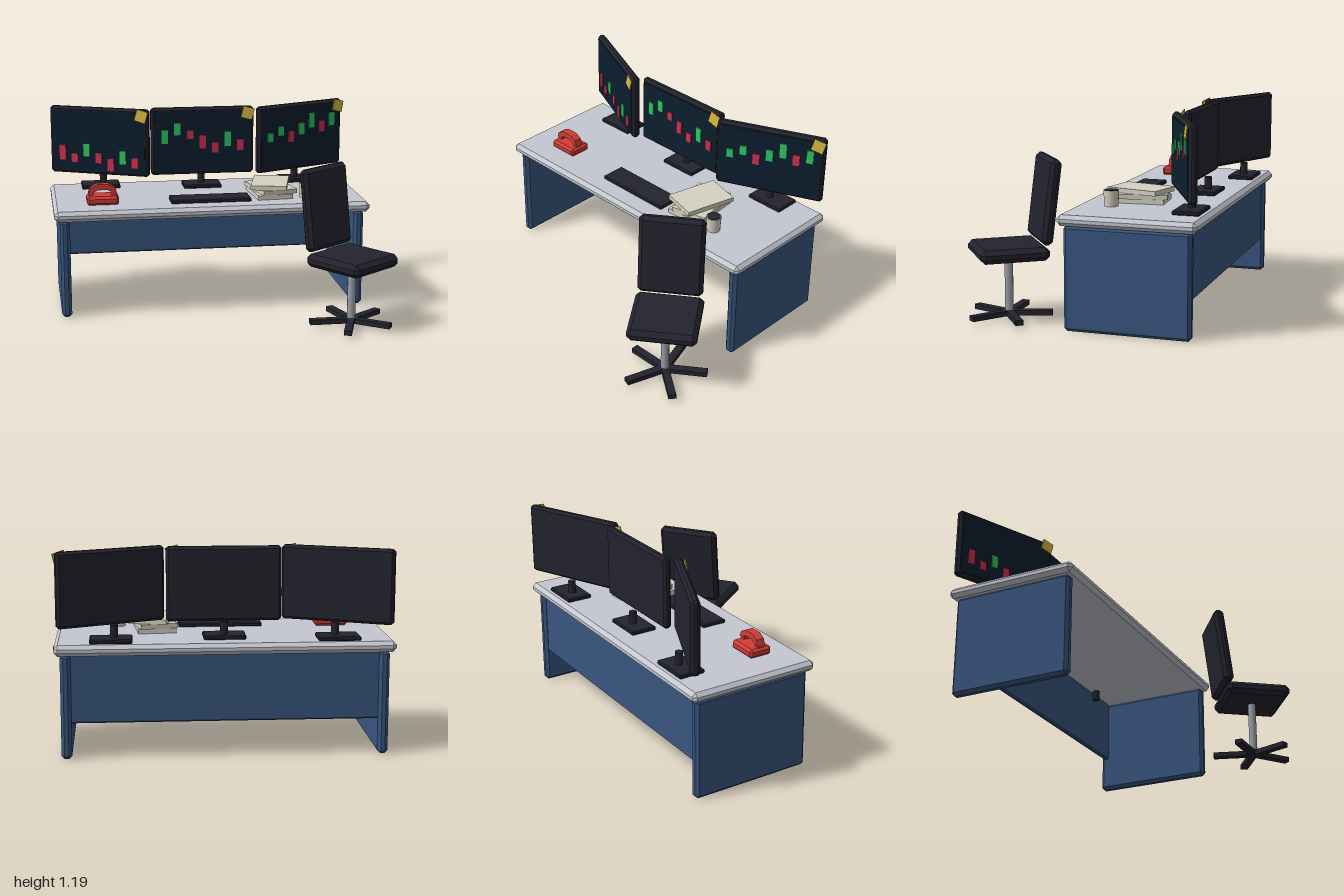
import * as THREE from 'three';
import { ConvexGeometry } from 'three/addons/geometries/ConvexGeometry.js';

const mat = (name, color, extra = {}) => Object.assign(new THREE.MeshStandardMaterial({ color, ...extra }), { name });

// Box with all edges chamfered by c
function chamferBox(w, h, d, c) {
  const pts = [];
  for (const x of [-1, 1]) for (const y of [-1, 1]) for (const z of [-1, 1]) {
    pts.push(
      new THREE.Vector3(x * w / 2, y * (h / 2 - c), z * (d / 2 - c)),
      new THREE.Vector3(x * (w / 2 - c), y * h / 2, z * (d / 2 - c)),
      new THREE.Vector3(x * (w / 2 - c), y * (h / 2 - c), z * d / 2));
  }
  return new ConvexGeometry(pts);
}

export function createModel() {
  const M = {
    top: mat('paleGrey', 0xc4c7d0),
    blue: mat('deskBlue', 0x38557f),
    dark: mat('darkPlastic', 0x23232e),
    screen: mat('screenNavy', 0x0b1e2e),
    green: mat('chartGreen', 0x2fc765),
    red: mat('chartRed', 0xcf3155),
    phone: mat('phoneRed', 0xd23c37),
    paper: mat('paperCream', 0xd6d2c2),
    yellow: mat('noteYellow', 0xd6b840),
    metal: mat('steelGrey', 0x9aa1a9),
  };
  const model = new THREE.Group();
  model.name = 'tradingDesk';

  function add(parent, name, geo, material, x = 0, y = 0, z = 0) {
    const m = new THREE.Mesh(geo, material);
    m.name = name;
    m.position.set(x, y, z);
    parent.add(m);
    return m;
  }
  function group(parent, name, x = 0, y = 0, z = 0, ry = 0) {
    const g = new THREE.Group();
    g.name = name;
    g.position.set(x, y, z);
    g.rotation.y = ry;
    parent.add(g);
    return g;
  }
  const box = (w, h, d) => new THREE.BoxGeometry(w, h, d);
  const CX = -0.035;

  // Desk: top, two side panels, back panel
  const desk = group(model, 'desk', CX);
  add(desk, 'deskTop', chamferBox(1.93, 0.064, 0.8, 0.022), M.top, 0, 0.632, -0.315);
  for (const s of [-1, 1]) {
    add(desk, 'sidePanel', chamferBox(0.06, 0.602, 0.735, 0.018), M.blue, s * 0.903, 0.301, -0.3125);
  }
  add(desk, 'backPanel', chamferBox(1.77, 0.4, 0.03, 0.008), M.blue, 0, 0.406, -0.645);

  // Monitors; each candle is [isUp, centre height, height]
  const charts = [
    [[0, -.08, .095], [0, -.112, .055], [1, -.059, .08], [0, -.107, .065], [0, -.147, .08], [1, -.096, .085], [0, -.128, .065]],
    [[1, .032, .085], [1, .08, .075], [0, .043, .055], [0, -.005, .085], [0, -.043, .065], [1, .01, .095], [0, -.03, .07]],
    [[1, .013, .055], [1, .048, .06], [0, .005, .07], [1, .048, .075], [1, .096, .095], [0, .05, .07], [1, .09, .085]],
  ];
  charts.forEach((candles, i) => {
    const side = i - 1;
    const x = CX + side * 0.645, z = side ? -0.557 : -0.481;
    const g = group(model, 'monitor', x, 0.97, z, side * 0.42);
    add(g, 'housing', chamferBox(0.66, 0.43, 0.05, 0.015), M.dark);
    add(g, 'screen', box(0.615, 0.385, 0.006), M.screen, 0, 0, 0.025);
    candles.forEach(([up, cy, h], k) => {
      add(g, 'candle', box(0.042, h, 0.008), up ? M.green : M.red, (k - 3) * 0.081, cy, 0.031);
    });
    const note = add(g, 'stickyNote', box(0.074, 0.074, 0.006), M.yellow, 0.289, 0.175, 0.037);
    note.rotation.set(-0.08, 0, -0.26);
    // Post behind the housing and foot on the desk
    add(g, 'post', new THREE.CylinderGeometry(0.023, 0.023, 0.22, 12), M.dark, 0, -0.32, -0.044);
    add(model, 'monitorFoot', chamferBox(0.243, 0.024, 0.16, 0.006), M.dark, x, 0.676, side ? -0.598 : -0.52);
  });

  // Keyboard
  add(model, 'keyboard', chamferBox(0.496, 0.024, 0.155, 0.006), M.dark, -0.037, 0.674, -0.117);

  // Telephone: body with an arched handset
  const phone = group(model, 'telephone', -0.698, 0, -0.14);
  add(phone, 'phoneBody', chamferBox(0.195, 0.055, 0.142, 0.015), M.phone, 0, 0.689, 0);
  const arch = new THREE.Shape([
    [-0.088, 0.728], [-0.076, 0.762], [-0.035, 0.785], [0.035, 0.785], [0.076, 0.762], [0.088, 0.728],
    [0.058, 0.735], [0.028, 0.75], [-0.028, 0.75], [-0.058, 0.735],
  ].map(([x, y]) => new THREE.Vector2(x, y)));
  add(phone, 'handset', new THREE.ExtrudeGeometry(arch, { depth: 0.05, bevelEnabled: false }), M.phone, 0, 0, -0.02);
  for (const s of [-1, 1]) add(phone, 'cradle', box(0.03, 0.03, 0.04), M.phone, s * 0.07, 0.722, 0.005);

  // Stack of papers, each turned a little
  [[0.08, 0.355, -0.225], [0.22, 0.365, -0.232], [-0.25, 0.362, -0.23]].forEach(([ry, x, z], i) => {
    add(model, 'paperStack', box(0.222, 0.028, 0.318), M.paper, x, 0.678 + i * 0.028, z).rotation.y = ry;
  });

  // Cup with a dark drink
  const cup = group(model, 'cup', 0.567, 0, -0.117);
  add(cup, 'cupBody', new THREE.CylinderGeometry(0.045, 0.04, 0.092, 16), M.paper, 0, 0.709, 0);
  add(cup, 'drink', new THREE.CylinderGeometry(0.04, 0.04, 0.006, 16), M.dark, 0, 0.755, 0);

  // Swivel chair, turned away from the desk
  const chair = group(model, 'chair', 0.73, 0, 0.45);
  const upper = group(chair, 'chairUpper', 0, 0, 0, 0.63);
  add(upper, 'seat', chamferBox(0.4, 0.078, 0.4, 0.026), M.dark, 0, 0.404, 0);
  add(upper, 'backrest', chamferBox(0.38, 0.49, 0.065, 0.022), M.dark, 0, 0.694, -0.214).rotation.x = -0.125;
  add(chair, 'column', new THREE.CylinderGeometry(0.025, 0.025, 0.33, 10), M.metal, 0, 0.205, 0);
  for (let i = 0; i < 5; i++) {
    const arm = group(chair, 'baseArm', 0, 0, 0, Math.PI / 5 + i * Math.PI * 0.4);
    add(arm, 'baseSpoke', box(0.25, 0.03, 0.045), M.dark, 0.125, 0.035, 0);
  }
  return model;
}
